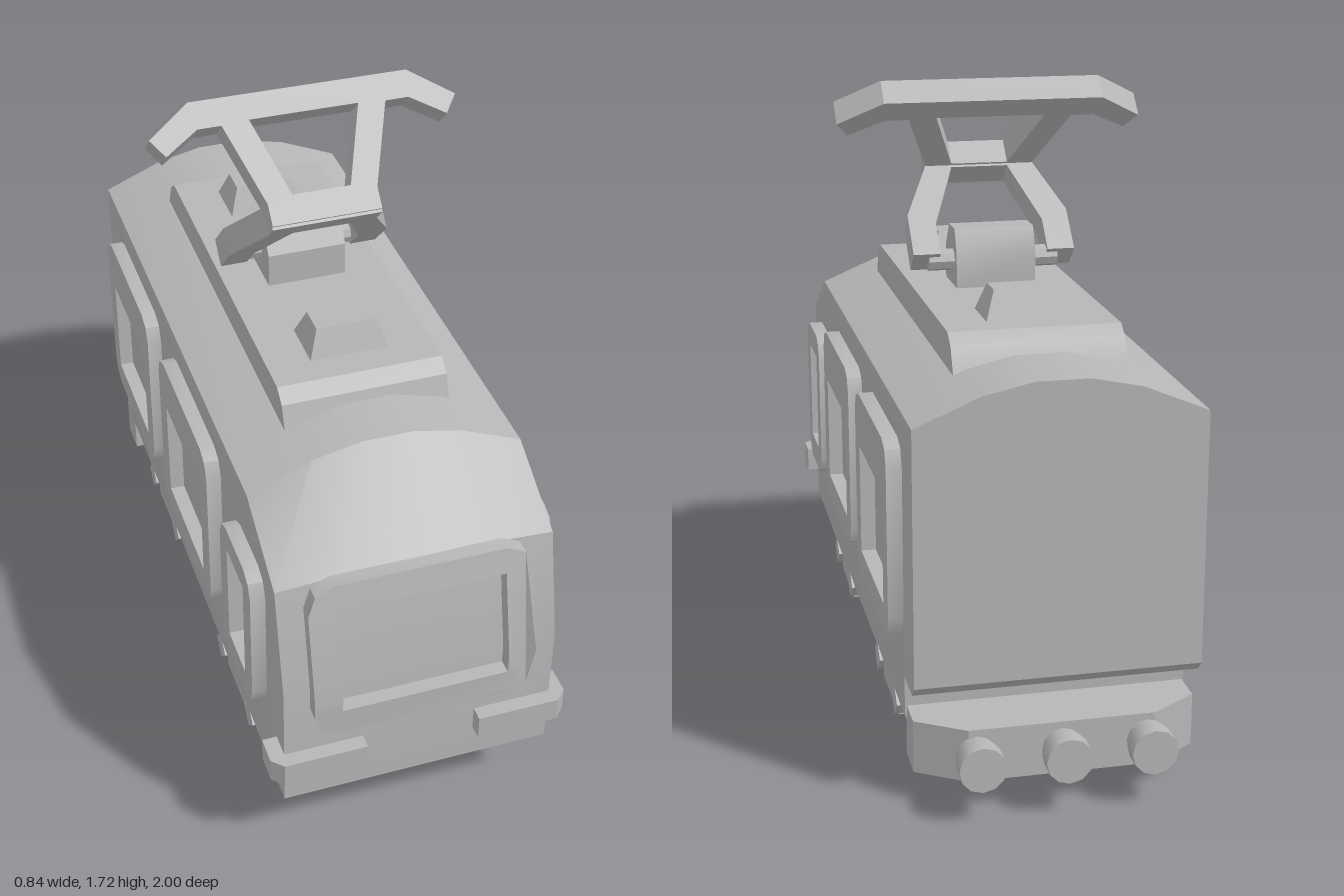
import * as THREE from 'three';
import { toCreasedNormals } from 'three/addons/utils/BufferGeometryUtils.js';

const grey = new THREE.MeshStandardMaterial({ color: 0xb6b6b6 });
grey.name = 'plain grey';

export function createModel() {
  const model = new THREE.Group();
  model.name = 'tram';

  const add = (name, geometry, x = 0, y = 0, z = 0) => {
    const mesh = new THREE.Mesh(toCreasedNormals(geometry, 0.55), grey);
    mesh.name = name;
    mesh.position.set(x, y, z);
    model.add(mesh);
    return mesh;
  };
  const shapeOf = (pts) => new THREE.Shape(pts.map(([x, y]) => new THREE.Vector2(x, y)));
  const extrude = (shape, depth) => new THREE.ExtrudeGeometry(shape, { depth, bevelEnabled: false });
  // prism from a (z, y) profile, centred across x
  const sidePrism = (pts, width) => extrude(shapeOf(pts.map(([z, y]) => [-z, y])), width)
    .translate(0, 0, -width / 2).rotateY(Math.PI / 2);
  // prism from a (x, z) plan
  const planPrism = (pts, y, height) => extrude(shapeOf(pts.map(([x, z]) => [x, -z])), height)
    .rotateX(-Math.PI / 2).translate(0, y, 0);
  // half outline mirrored across x = 0
  const mirrored = (half) => [...half, ...half.map(([x, y]) => [-x, y]).reverse()];

  // body shell: cross-sections from back to front
  // each row: z, underside, shoulder, roof ridge
  const sections = [
    [-0.89, 0.33, 1.0, 1.105], [-0.86, 0.3, 1.0, 1.105], [-0.75, 0.3, 1.0, 1.105],
    [-0.75, 0.13, 1.0, 1.105], [0.66, 0.13, 1.0, 1.105],
    [0.89, 0.184, 0.875, 0.89], [0.96, 0.2, 0.58, 0.58],
  ];
  const rings = sections.map(([z, bottom, shoulder, ridge]) => {
    const half = [[0.35, bottom], [0.37, Math.max(0.2, bottom)], [0.37, shoulder],
      [0.2, shoulder + (ridge - shoulder) * 0.68], [0.07, shoulder + (ridge - shoulder) * 0.95]];
    return mirrored(half).map(([x, y]) => [x, y, z]);
  });
  const pos = [];
  const count = rings[0].length;
  for (let i = 0; i < rings.length - 1; i++) {
    for (let j = 0; j < count; j++) {
      const k = (j + 1) % count;
      const a = rings[i][j], b = rings[i][k], c = rings[i + 1][k], d = rings[i + 1][j];
      pos.push(...a, ...b, ...c, ...a, ...c, ...d);
    }
  }
  const back = rings[0], front = rings[rings.length - 1];
  for (let j = 1; j < count - 1; j++) {
    pos.push(...back[0], ...back[j + 1], ...back[j]);
    pos.push(...front[0], ...front[j], ...front[j + 1]);
  }
  const shell = new THREE.BufferGeometry();
  shell.setAttribute('position', new THREE.Float32BufferAttribute(pos, 3));
  shell.computeVertexNormals();
  add('body', shell);

  // window frames with cut corners; extra points let a frame fold at height fold
  const frame = (x0, x1, y0, y1, inner, c, fold) => {
    const mid = (x) => (fold ? [[x, fold]] : []);
    const s = shapeOf([[x0 + c, y0], [x1 - c, y0], [x1 - c * 0.3, y0 + c * 0.3], [x1, y0 + c],
      ...mid(x1), [x1, y1 - c], [x1 - c * 0.3, y1 - c * 0.3], [x1 - c, y1],
      [x0 + c, y1], [x0 + c * 0.3, y1 - c * 0.3], [x0, y1 - c],
      ...mid(x0), [x0, y0 + c], [x0 + c * 0.3, y0 + c * 0.3]]);
    const [a, b, p, q] = inner;
    s.holes.push(shapeOf([[a, p], ...mid(a), [a, q], [b, q], ...mid(b), [b, p]]));
    return extrude(s, 0.04);
  };
  const windows = [[0.53, 0.81, 0.845, 0.065], [-0.11, 0.405, 0.92, 0.075], [-0.75, -0.24, 0.92, 0.07]];
  for (const [z0, z1, top, rim] of windows) {
    const w = (z1 - z0) / 2;
    for (const side of [1, -1]) {
      add('sideWindowFrame', frame(-w, w, 0.4, top, [-w + rim, w - rim, 0.475, 0.775], 0.06),
        side * 0.37, 0, (z0 + z1) / 2).rotation.y = side * Math.PI / 2;
    }
  }
  // windscreen frame folded along the sloping nose
  const screen = frame(-0.3, 0.3, 0.45, 0.89, [-0.225, 0.225, 0.525, 0.82], 0.07, 0.58);
  const sp = screen.attributes.position;
  for (let i = 0; i < sp.count; i++) {
    sp.setZ(i, sp.getZ(i) + 0.96 - Math.max(0, sp.getY(i) - 0.58) * 0.233);
  }
  screen.computeVertexNormals();
  add('windscreenFrame', screen);

  // wrap-around front bumpers
  const bumper = [[0.155, 0.95], [0.155, 1.0], [0.38, 1.0], [0.41, 0.97], [0.41, 0.895], [0.36, 0.895]];
  for (const side of [1, -1]) {
    add('frontBumper', planPrism(bumper.map(([x, z]) => [side * x, z]), 0.3, 0.07));
  }

  // roof fairing and equipment boxes
  add('roofFairing', sidePrism([[0.515, 1.06], [0.49, 1.125], [0.45, 1.155], [-0.6, 1.155],
    [-0.64, 1.125], [-0.67, 1.06]], 0.45));
  for (const z of [0.295, -0.45]) {
    const box = new THREE.BoxGeometry(0.22, 0.08, 0.15);
    const p = box.attributes.position;
    for (let i = 0; i < p.count; i++) {
      if (p.getY(i) > 0) p.setXYZ(i, p.getX(i) * 0.75, p.getY(i), p.getZ(i) * 0.55);
    }
    box.computeVertexNormals();
    add('roofBox', box, 0, 1.19, z);
  }

  // pantograph: mount, hinge bar and two frames folded at the elbow
  add('pantographMount', sidePrism([[0, 1.15], [0, 1.25], [-0.045, 1.315], [-0.12, 1.315],
    [-0.15, 1.25], [-0.15, 1.15]], 0.22));
  add('pantographHinge', new THREE.CylinderGeometry(0.03, 0.03, 0.36, 8).rotateZ(Math.PI / 2), 0, 1.225, -0.095);
  const arm = (name, shape, angle) => {
    add(name, extrude(shape, 0.076).translate(0, 0, -0.038), 0, 1.455, 0.13).rotation.x = angle;
  };
  arm('pantographLowerArm', shapeOf(mirrored([[0.15, -0.03], [0.15, 0.03], [0.225, 0.2], [0.225, 0.33],
    [0.15, 0.33], [0.15, 0.23], [0.08, 0.045]])), -Math.PI * 0.75);
  const upper = shapeOf(mirrored([[0.15, -0.03], [0.15, 0.03], [0.225, 0.255], [0.29, 0.255],
    [0.385, 0.195], [0.42, 0.245], [0.3, 0.33]]));
  upper.holes.push(shapeOf(mirrored([[0.08, 0.045], [0.15, 0.26]])));
  arm('pantographUpperArm', upper, -Math.PI / 4);

  // bogies: block, side bars, wheels and axle ends
  for (const zc of [0.44, -0.378]) {
    add('bogieBlock', sidePrism([[-0.25, 0.14], [-0.2, 0.06], [0.2, 0.06], [0.25, 0.14]]
      .map(([z, y]) => [zc + z, y]), 0.5));
    for (const side of [1, -1]) {
      add('bogieSideBar', new THREE.BoxGeometry(0.05, 0.06, 0.24), side * 0.32, 0.1, zc);
      for (const dz of [0.142, -0.142]) {
        add('wheel', new THREE.CylinderGeometry(0.152, 0.152, 0.075, 8, 1, false, Math.PI / 8)
          .rotateZ(Math.PI / 2), side * 0.26, 0.14, zc + dz);
        add('axleEnd', new THREE.CylinderGeometry(0.045, 0.045, 0.09, 4)
          .rotateZ(Math.PI / 2), side * 0.315, 0.13, zc + dz);
      }
    }
  }

  // rear beam and buffers
  add('rearBeam', planPrism(mirrored([[0.24, -0.92], [0.365, -0.84], [0.365, -0.74]]), 0.08, 0.14));
  for (const x of [-0.22, 0, 0.22]) {
    add('bufferStem', new THREE.CylinderGeometry(0.045, 0.06, 0.1, 12).rotateX(Math.PI / 2), x, 0.15, -0.92);
    add('bufferHead', new THREE.CylinderGeometry(0.06, 0.06, 0.05, 12).rotateX(Math.PI / 2), x, 0.15, -0.975);
  }
  return model;
}
